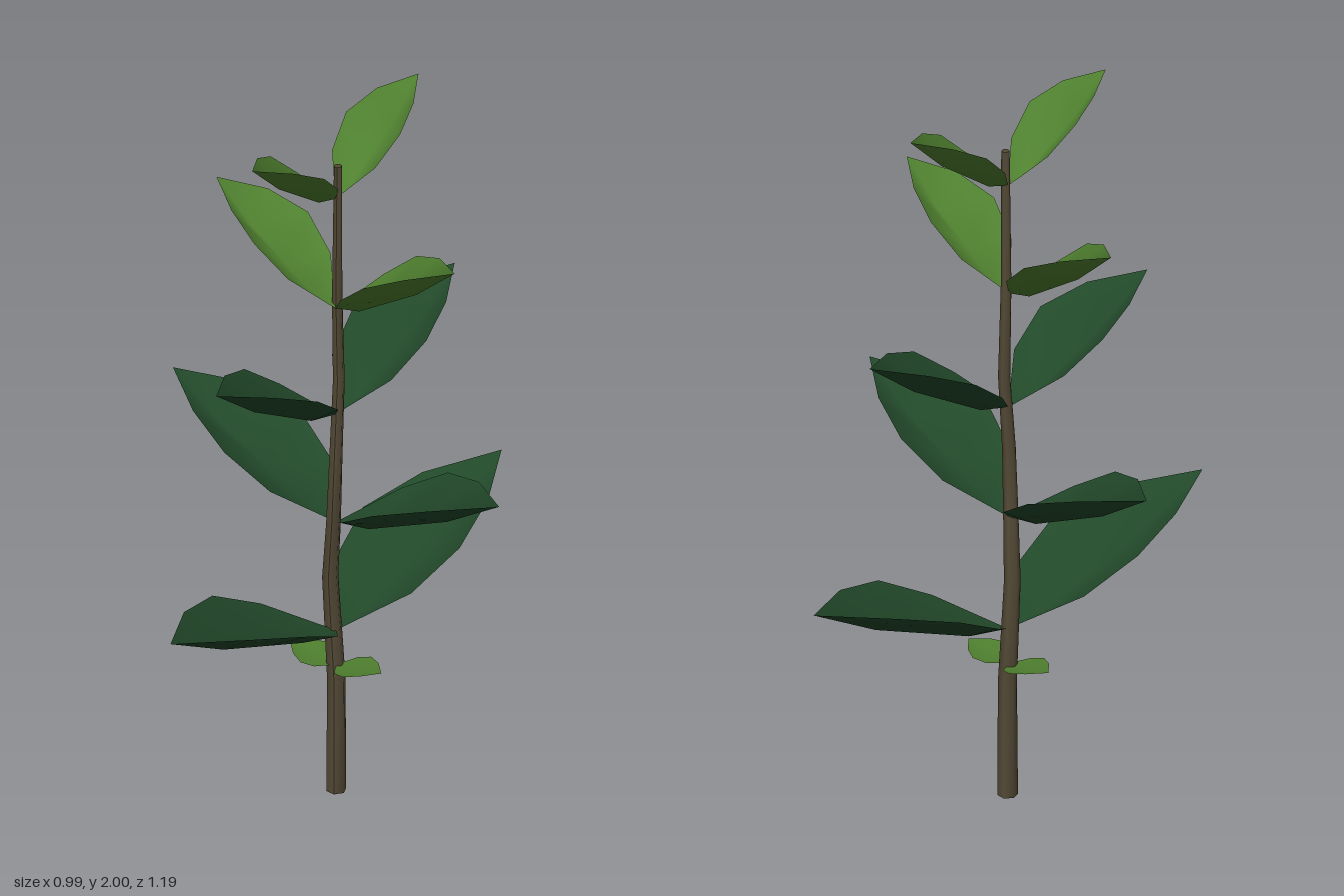
import * as THREE from 'three';

const mat = (name, color, extra = {}) => Object.assign(new THREE.MeshStandardMaterial({ color, ...extra }), { name });

// Leaf growing along +x: root, three stations of (left edge, midrib, right edge), tip.
// Edges cup upward above the midrib.
function leafGeometry(length, halfWidth, rise) {
  const stations = [ // midrib along, midrib height, edge along, edge height, edge width
    [0.20, 0.08, 0.22, 0.38, 0.80],
    [0.42, 0.30, 0.455, 0.70, 1.0],
    [0.68, 0.56, 0.72, 0.89, 0.68],
  ];
  const pos = [0, 0, 0];
  for (const [ma, mh, ea, eh, w] of stations) {
    pos.push(ea * length, eh * rise, -w * halfWidth);
    pos.push(ma * length, mh * rise, 0);
    pos.push(ea * length, eh * rise, w * halfWidth);
  }
  pos.push(length, rise, 0);
  const index = [0, 2, 1, 0, 3, 2];
  for (let s = 0; s < 2; s++) {
    for (let k = 0; k < 2; k++) {
      const a = 1 + s * 3 + k, b = a + 1, c = a + 3, d = a + 4;
      index.push(a, b, c, b, d, c);
    }
  }
  index.push(7, 8, 10, 8, 9, 10);
  const g = new THREE.BufferGeometry();
  g.setAttribute('position', new THREE.Float32BufferAttribute(pos, 3));
  g.setIndex(index);
  g.computeVertexNormals();
  return g;
}

// Tapered stem: a cylinder whose rows follow a gently bending path
function stemGeometry() {
  const path = [ // x, y, z, radius
    [0, 0, -0.005, 0.027], [0, 0.33, -0.007, 0.025], [-0.02, 0.63, -0.022, 0.022],
    [-0.005, 0.81, 0.004, 0.02], [0.002, 1.0, 0.008, 0.018], [0.003, 1.22, -0.022, 0.016],
    [0, 1.48, -0.016, 0.014], [0.003, 1.87, -0.013, 0.011],
  ];
  const n = path.length - 1;
  const g = new THREE.CylinderGeometry(1, 1, 1, 6, n);
  const p = g.attributes.position;
  for (let i = 0; i < p.count; i++) {
    const [x, y, z, r] = path[Math.round((p.getY(i) + 0.5) * n)];
    p.setXYZ(i, x + p.getX(i) * r, y, z + p.getZ(i) * r);
  }
  g.computeVertexNormals();
  return g;
}

export function createModel() {
  const plant = new THREE.Group();
  plant.name = 'plant';
  const bark = mat('stemBrown', 0x544a36);
  const dark = mat('darkLeafGreen', 0x22492a, { side: THREE.DoubleSide });
  const light = mat('lightLeafGreen', 0x4f802f, { side: THREE.DoubleSide });

  const stem = new THREE.Mesh(stemGeometry(), bark);
  stem.name = 'stem';
  plant.add(stem);

  // Opposite leaf pairs: name, root x/y/z, tip offset x/z, half width, rise, material
  const pairs = [
    ['seedLeaf', 0, 0.378, 0, 0.135, 0.055, 0.065, 0.022, light],
    ['lowestLeaf', 0, 0.48, -0.003, 0.303, -0.593, 0.165, 0.25, dark],
    ['lowerLeaf', 0, 0.805, -0.003, 0.497, 0.257, 0.15, 0.255, dark],
    ['middleLeaf', -0.003, 1.125, -0.008, 0.222, -0.41, 0.128, 0.255, dark],
    ['upperLeaf', 0, 1.45, 0.003, 0.36, 0.175, 0.11, 0.25, light],
    ['topLeaf', -0.004, 1.77, -0.012, 0.152, -0.298, 0.092, 0.23, light],
  ];
  for (const [name, x, y, z, dx, dz, halfWidth, rise, material] of pairs) {
    const geometry = leafGeometry(Math.hypot(dx, dz), halfWidth, rise);
    for (const side of [0, 1]) {
      const leaf = new THREE.Mesh(geometry, material);
      leaf.name = name + (side ? 'Opposite' : '');
      leaf.position.set(x, y, z);
      leaf.rotation.y = Math.atan2(-dz, dx) + side * Math.PI;
      plant.add(leaf);
    }
  }
  return plant;
}
